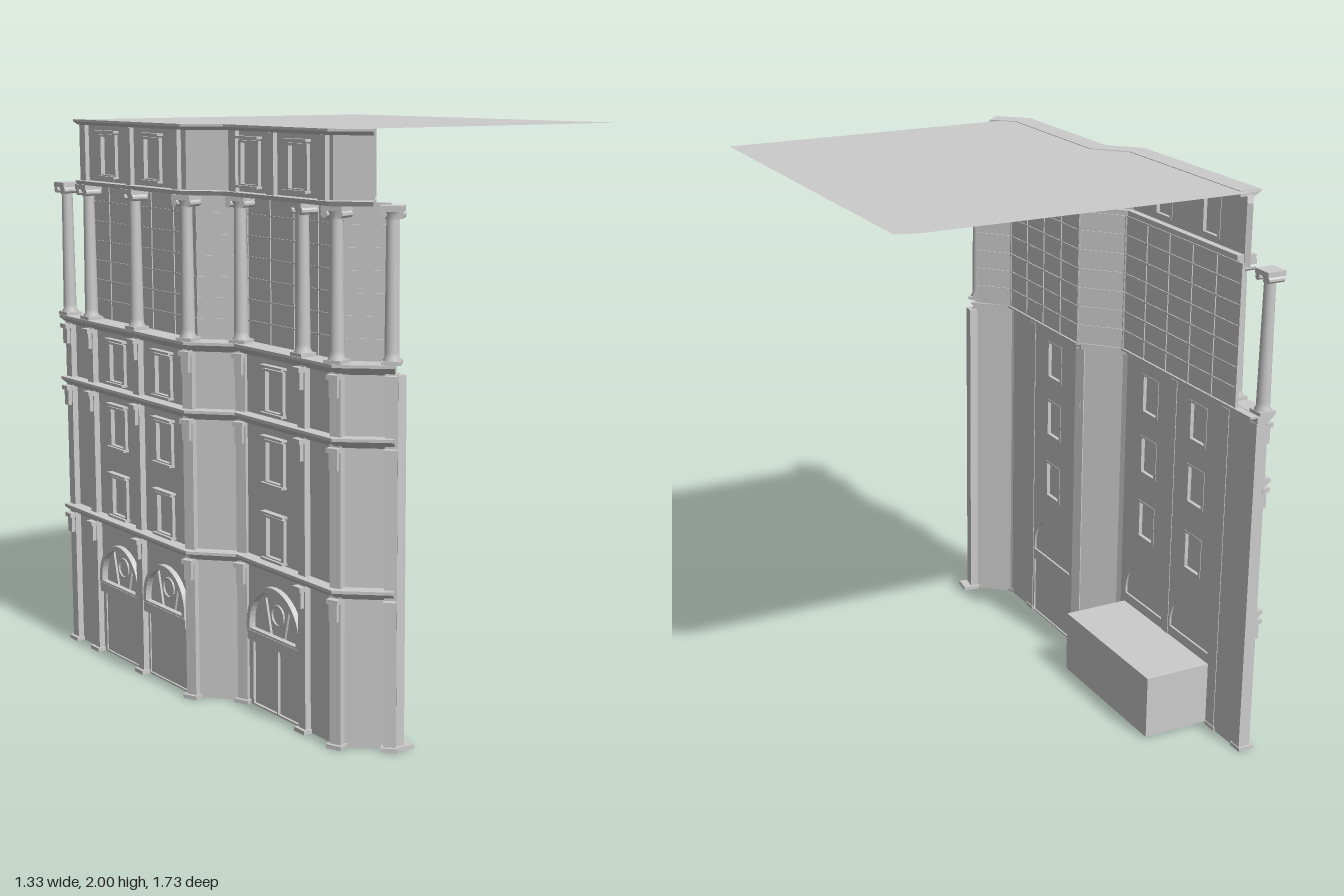
import * as THREE from 'three';

const mat = new THREE.MeshStandardMaterial({ color: 0xcccccc, side: THREE.DoubleSide, flatShading: true });
const smooth = new THREE.MeshStandardMaterial({ color: 0xcccccc, side: THREE.DoubleSide });

function add(parent, name, geometry, x = 0, y = 0, z = 0, material = mat) {
  const m = new THREE.Mesh(geometry, material);
  m.name = name;
  m.position.set(x, y, z);
  parent.add(m);
  return m;
}
const box = (parent, name, w, h, d, x, y, z) => add(parent, name, new THREE.BoxGeometry(w, h, d), x, y, z);

// Local frame on the facade: x runs along the wall, y up, z outwards
function frameAt(parent, name, x, z, angle) {
  const g = new THREE.Group();
  g.name = name;
  g.position.set(x, 0, z);
  g.rotation.y = angle;
  parent.add(g);
  return g;
}
const wallFrame = (parent, name, a, b) => frameAt(parent, name, a[0], a[1], Math.atan2(a[1] - b[1], b[0] - a[0]));

function rect(Type, x0, y0, x1, y1) {
  const s = new Type();
  s.moveTo(x0, y0); s.lineTo(x1, y0); s.lineTo(x1, y1); s.lineTo(x0, y1); s.closePath();
  return s;
}
function arch(Type, u, y, r, rise) {
  const s = new Type();
  s.moveTo(u - r, y); s.lineTo(u + r, y); s.lineTo(u + r, y + rise);
  s.absarc(u, y + rise, r, 0, Math.PI, false);
  s.closePath();
  return s;
}
const slab = (shape, depth) =>
  new THREE.ExtrudeGeometry(shape, { depth, bevelEnabled: false, curveSegments: 10 });

// Closed moulding profile [out, y] swept with mitres along a plan path [x, z]
function sweep(parent, name, path, profile) {
  const normal = (a, b) => new THREE.Vector2(a[1] - b[1], b[0] - a[0]).normalize();
  const pos = [], idx = [], n = profile.length;
  path.forEach((p, i) => {
    const n1 = normal(path[Math.max(i - 1, 0)], path[Math.max(i, 1)]);
    const last = path.length - 1;
    const n2 = normal(path[Math.min(i, last - 1)], path[Math.min(i + 1, last)]);
    const m = n1.clone().add(n2).normalize();
    m.divideScalar(m.dot(n1));
    profile.forEach(([o, y]) => pos.push(p[0] + m.x * o, y, p[1] + m.y * o));
    if (i < last) for (let k = 0; k < n; k++) {
      const a = i * n + k, b = i * n + (k + 1) % n;
      idx.push(a, a + n, b, b, a + n, b + n);
    }
  });
  const caps = THREE.ShapeUtils.triangulateShape(profile.map(q => new THREE.Vector2(...q)), []);
  const end = (path.length - 1) * n;
  caps.forEach(([a, b, c]) => idx.push(a, b, c, end + a, end + c, end + b));
  const g = new THREE.BufferGeometry();
  g.setAttribute('position', new THREE.Float32BufferAttribute(pos, 3));
  g.setIndex(idx);
  const flat = g.toNonIndexed();
  flat.computeVertexNormals();
  return add(parent, name, flat);
}

// Framed sash window centred on u, standing on y
function windowUnit(parent, u, y, w = 0.1, h = 0.15) {
  const g = new THREE.Group();
  g.name = 'window';
  g.position.set(u, y, 0);
  parent.add(g);
  const ring = rect(THREE.Shape, -w / 2 - 0.008, 0, w / 2 + 0.008, h);
  ring.holes.push(rect(THREE.Path, -w / 2 + 0.006, 0.008, w / 2 - 0.006, h - 0.008));
  add(g, 'windowFrame', slab(ring, 0.034), 0, 0, -0.022);
  box(g, 'windowPane', w, h, 0.004, 0, h / 2, -0.006);
  box(g, 'windowSill', w + 0.025, 0.008, 0.025, 0, 0, 0.01);
  box(g, 'windowHead', w + 0.03, 0.008, 0.025, 0, h + 0.01, 0.01);
}

export function createModel() {
  const model = new THREE.Group();
  model.name = 'cornerBuilding';

  // Lower storeys, plan runs from the back end to the angled front corner
  const path = [[-0.61, -0.84], [-0.61, 0.02], [-0.49, 0.15], [-0.49, 0.70], [-0.36, 0.82]];
  const bays = [[-0.485, -0.165], [], [0.345], []];
  bays.forEach((centres, i) => {
    const a = path[i], b = path[i + 1];
    const len = Math.hypot(b[0] - a[0], b[1] - a[1]);
    const g = wallFrame(model, 'lowerWall', a, b);
    const wall = rect(THREE.Shape, 0, 0, len, 1.24);
    for (const z of centres) {
      const u = z - a[1], r = i === 0 ? 0.13 : 0.145;
      wall.holes.push(rect(THREE.Path, u - r, 0.006, u + r, 0.235), arch(THREE.Path, u, 0.28, r, 0.02));
      for (const y of [0.55, 0.81, 1.05]) {
        wall.holes.push(rect(THREE.Path, u - 0.05, y, u + 0.05, y + 0.15));
        windowUnit(g, u, y);
      }
      // Arched fanlight with mullions
      add(g, 'fanlightPane', slab(arch(THREE.Shape, u, 0.28, r, 0.02), 0.003), 0, 0, -0.012);
      const rim = arch(THREE.Shape, u, 0.278, r + 0.01, 0.022);
      rim.holes.push(arch(THREE.Path, u, 0.285, r - 0.008, 0.015));
      add(g, 'fanlightRim', slab(rim, 0.02), 0, 0, 0);
      add(g, 'fanlightRing', new THREE.TorusGeometry(0.035, 0.004, 6, 16), u, 0.355, -0.004);
      for (const s of [-1, 1]) {
        const bar = box(g, 'fanlightMullion', 0.006, 0.13, 0.008, u + s * 0.055, 0.34, -0.004);
        bar.rotation.z = -s * 0.25;
      }
      box(g, 'shopLintel', 2 * r + 0.02, 0.035, 0.028, u, 0.258, 0.004);
      if (i === 2) {
        box(g, 'shopDoor', 2 * r, 0.23, 0.004, u, 0.12, -0.012);
        box(g, 'doorStile', 0.008, 0.23, 0.012, u, 0.12, -0.006);
      }
    }
    add(g, 'wall', slab(wall, 0.02), 0, 0, -0.02);
  });

  // Shop interior behind the two arched bays
  box(model, 'shopRoom', 0.27, 0.235, 0.59, -0.47, 0.125, -0.325);

  // Cornices above each band of storeys
  for (const y of [0.505, 1.0, 1.235])
    sweep(model, 'cornice', path, [[-0.02, y], [0.012, y], [0.047, y + 0.026], [0.047, y + 0.036], [-0.02, y + 0.036]]);

  // Pilasters with brackets, and the free columns above them
  const S = -Math.PI / 2, C = -Math.PI / 4, M = -Math.PI * 3 / 8;
  const posts = [[-0.61, -0.82, S], [-0.61, -0.655, S], [-0.61, -0.325, S], [-0.61, 0.01, M], [-0.49, 0.155, M],
    [-0.49, 0.52, S], [-0.49, 0.695, M], [-0.37, 0.815, C]];
  for (const [x, z, angle] of posts) {
    const g = frameAt(model, 'pilaster', x, z, angle);
    box(g, 'pilasterShaft', 0.04, 1.24, 0.045, 0, 0.62, 0.0);
    box(g, 'pilasterBase', 0.056, 0.014, 0.06, 0, 0.007, 0.004);
    for (const y of [0.505, 1.0, 1.235]) {
      box(g, 'bracket', 0.03, 0.06, 0.018, 0, y - 0.042, 0.028);
      box(g, 'bracketCap', 0.042, 0.016, 0.03, 0, y - 0.006, 0.03);
    }
    const prof = [[0.03, 1.27], [0.03, 1.285], [0.024, 1.295], [0.024, 1.31], [0.02, 1.72], [0.024, 1.725], [0.022, 1.735], [0.03, 1.75]];
    add(g, 'columnShaft', new THREE.LatheGeometry(prof.map(p => new THREE.Vector2(...p)), 14), 0, 0, 0.012, smooth);
    box(g, 'columnPlinth', 0.062, 0.012, 0.062, 0, 1.277, 0.012);
    box(g, 'columnCapital', 0.074, 0.018, 0.07, 0, 1.757, 0.012);
    for (const s of [-1, 1]) {
      const volute = add(g, 'columnVolute', new THREE.CylinderGeometry(0.012, 0.012, 0.062, 10), s * 0.028, 1.738, 0.012);
      volute.rotation.x = Math.PI / 2;
    }
  }

  // End pier closing the front corner
  const pier = frameAt(model, 'endPier', -0.345, 0.815, -0.15);
  box(pier, 'pierShaft', 0.03, 1.235, 0.05, 0, 0.617, 0);
  box(pier, 'pierBase', 0.065, 0.014, 0.07, 0.015, 0.007, 0);

  // Recessed glazed storey with a grid of bars
  const glazed = [[-0.57, -0.74], [-0.57, 0.0], [-0.45, 0.13], [-0.45, 0.67], [-0.35, 0.78]];
  sweep(model, 'glazing', glazed, [[-0.002, 1.26], [0.002, 1.26], [0.002, 1.77], [-0.002, 1.77]]);
  for (let k = 1; k < 7; k++) {
    const y = 1.265 + k * 0.072;
    sweep(model, 'glazingBar', glazed, [[-0.006, y], [0.006, y], [0.006, y + 0.005], [-0.006, y + 0.005]]);
  }
  for (let i = 0; i < 4; i++) {
    const a = glazed[i], b = glazed[i + 1];
    const len = Math.hypot(b[0] - a[0], b[1] - a[1]);
    const g = wallFrame(model, 'glazingMullions', a, b);
    const n = Math.max(1, Math.round(len / 0.14));
    for (let k = 0; k <= n; k++) box(g, 'mullion', 0.006, 0.5, 0.012, k * len / n, 1.515, 0);
  }
  // Floor ledge and ceiling that tie the columns to the glazing
  sweep(model, 'balconyFloor', path, [[-0.05, 1.262], [0.04, 1.262], [0.04, 1.27], [-0.05, 1.27]]);

  // Attic storey
  const attic = [[-0.555, -0.8], [-0.63, -0.69], [-0.63, 0.03], [-0.53, 0.14], [-0.53, 0.72], [-0.44, 0.81]];
  const atticWindows = [[], [-0.48, -0.18], [], [0.27, 0.54], []];
  const atticPosts = [[], [-0.65, -0.33, -0.02], [], [0.18, 0.4, 0.68], []];
  atticWindows.forEach((centres, i) => {
    const a = attic[i], b = attic[i + 1];
    const g = wallFrame(model, 'atticWall', a, b);
    const wall = rect(THREE.Shape, 0, 1.775, Math.hypot(b[0] - a[0], b[1] - a[1]), 1.985);
    for (const z of centres) {
      wall.holes.push(rect(THREE.Path, z - a[1] - 0.05, 1.8, z - a[1] + 0.05, 1.95));
      windowUnit(g, z - a[1], 1.8);
    }
    add(g, 'wall', slab(wall, 0.02), 0, 0, -0.02);
    for (const z of atticPosts[i]) box(g, 'atticPilaster', 0.04, 0.2, 0.02, z - a[1], 1.88, 0.006);
  });
  const crown = attic.slice(1);
  sweep(model, 'atticLedge', crown, [[-0.05, 1.765], [0.02, 1.765], [0.028, 1.78], [-0.05, 1.785]]);
  sweep(model, 'atticCornice', crown, [[-0.05, 1.98], [0.01, 1.98], [0.03, 1.992], [0.03, 2.0], [-0.05, 2.0]]);
  const atticEnd = frameAt(model, 'atticEnd', -0.44, 0.81, C);
  box(atticEnd, 'endReturn', 0.012, 0.19, 0.05, -0.006, 1.885, -0.025);

  // Flat roof sheet
  const plan = [[-0.66, -0.7], [-0.57, -0.72], [0.57, -0.72], [0.655, -0.7], [0.665, 0.745], [-0.45, 0.745],
    [-0.46, 0.835], [-0.55, 0.73], [-0.55, 0.16], [-0.66, 0.05]];
  const roof = new THREE.Shape(plan.map(([x, z]) => new THREE.Vector2(x, -z)));
  add(model, 'roof', new THREE.ShapeGeometry(roof), 0, 1.998, 0).rotation.x = -Math.PI / 2;

  return model;
}
